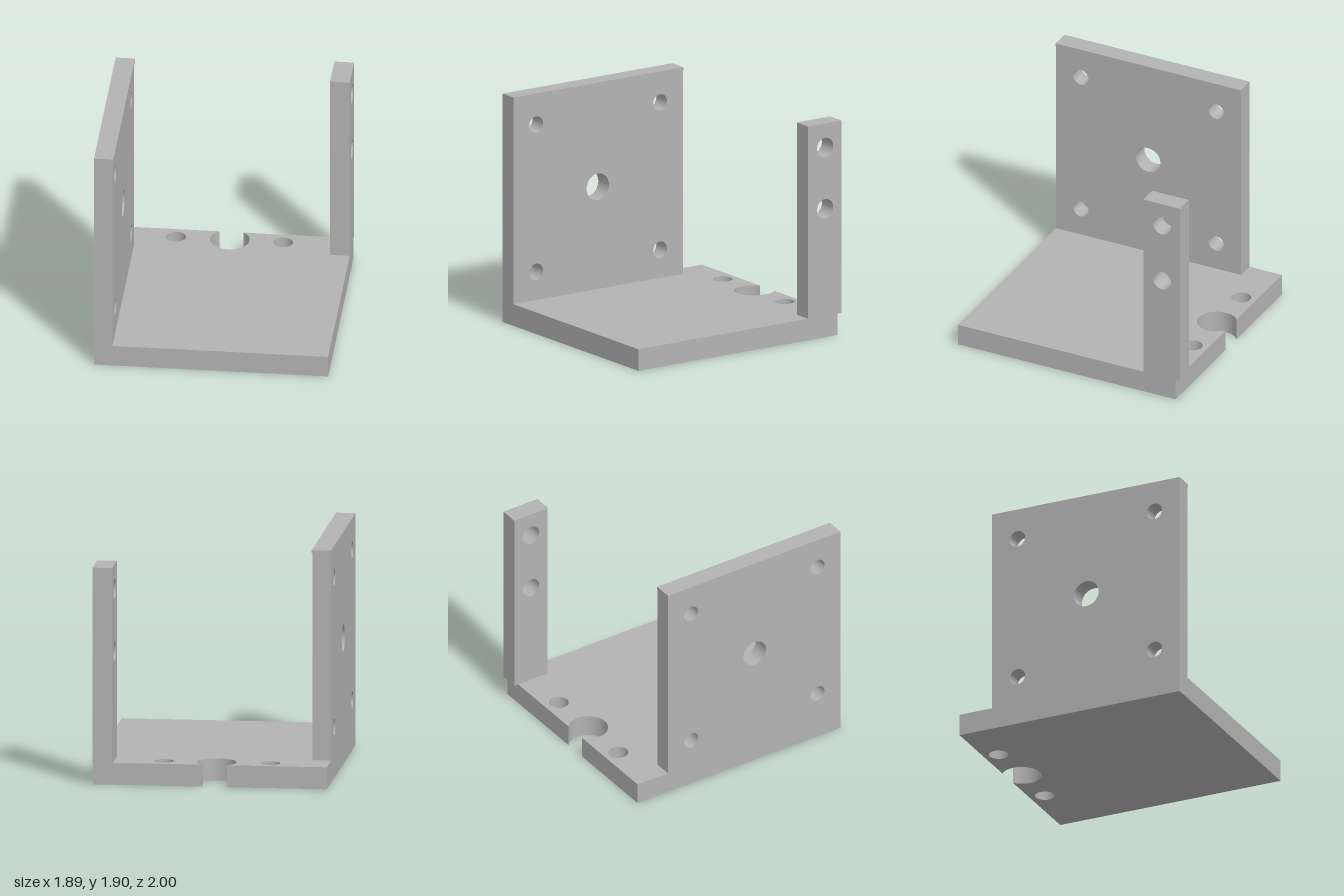
import * as THREE from 'three';

const grey = new THREE.MeshStandardMaterial({ color: 0xb3b3b3 });
grey.name = 'plain grey';

function addHoles(shape, holes) {
  for (const [x, y, r] of holes) {
    const hole = new THREE.Path();
    hole.absarc(x, y, r, 0, Math.PI * 2, true);
    shape.holes.push(hole);
  }
  return shape;
}

function rectangle(x0, y0, x1, y1) {
  return new THREE.Shape([
    new THREE.Vector2(x0, y0), new THREE.Vector2(x1, y0),
    new THREE.Vector2(x1, y1), new THREE.Vector2(x0, y1),
  ]);
}

function extrude(shape, depth) {
  return new THREE.ExtrudeGeometry(shape, { depth, bevelEnabled: false, curveSegments: 32 });
}

// Upright plate drawn in (z, y), occupying x0..x1
function upright(shape, x0, x1) {
  return extrude(shape, x1 - x0).rotateY(-Math.PI / 2).translate(x1, 0, 0);
}

// Box given by its two opposite corners
function block(x0, y0, z0, x1, y1, z1) {
  return new THREE.BoxGeometry(x1 - x0, y1 - y0, z1 - z0)
    .translate((x0 + x1) / 2, (y0 + y1) / 2, (z0 + z1) / 2);
}

export function createModel() {
  const model = new THREE.Group();
  model.name = 'mountingBracket';
  const add = (name, geometry) => {
    const mesh = new THREE.Mesh(geometry, grey);
    mesh.name = name;
    model.add(mesh);
  };

  // Base plate, drawn in (x, -z), with a round notch open to the back edge
  const back = 0.962, cx = -0.04, cy = 0.835, r = 0.16;
  const a = Math.asin((back - cy) / r);
  const base = new THREE.Shape();
  base.moveTo(-0.947, -1);
  base.lineTo(0.947, -1);
  base.lineTo(0.947, back);
  base.lineTo(cx + r * Math.cos(a), back);
  base.absarc(cx, cy, r, a, Math.PI - a, true);
  base.lineTo(-0.947, back);
  base.closePath();
  addHoles(base, [[-0.475, 0.835, 0.08], [0.39, 0.835, 0.08]]);
  add('basePlate', extrude(base, 0.18).rotateX(-Math.PI / 2));

  // Large side plate with four screw holes and a centre bore
  const plate = addHoles(rectangle(-0.67, 0.18, 1, 1.9), [
    [0.775, 1.64, 0.068], [-0.445, 1.64, 0.068],
    [0.775, 0.415, 0.068], [-0.445, 0.415, 0.068],
    [0.168, 1.03, 0.11],
  ]);
  add('sidePlate', upright(plate, -0.947, -0.798));
  add('sidePlateLip', block(-0.798, 1.877, -0.67, -0.79, 1.9, 1));

  // Narrow post with two holes and a stepped front edge
  const post = addHoles(rectangle(-1, 0.18, -0.68, 1.78), [
    [-0.84, 1.58, 0.08], [-0.84, 1.07, 0.08],
  ]);
  add('post', upright(post, 0.788, 0.947));
  add('postFrontEdge', block(0.798, 0.18, -0.68, 0.947, 1.78, -0.67));

  return model;
}
